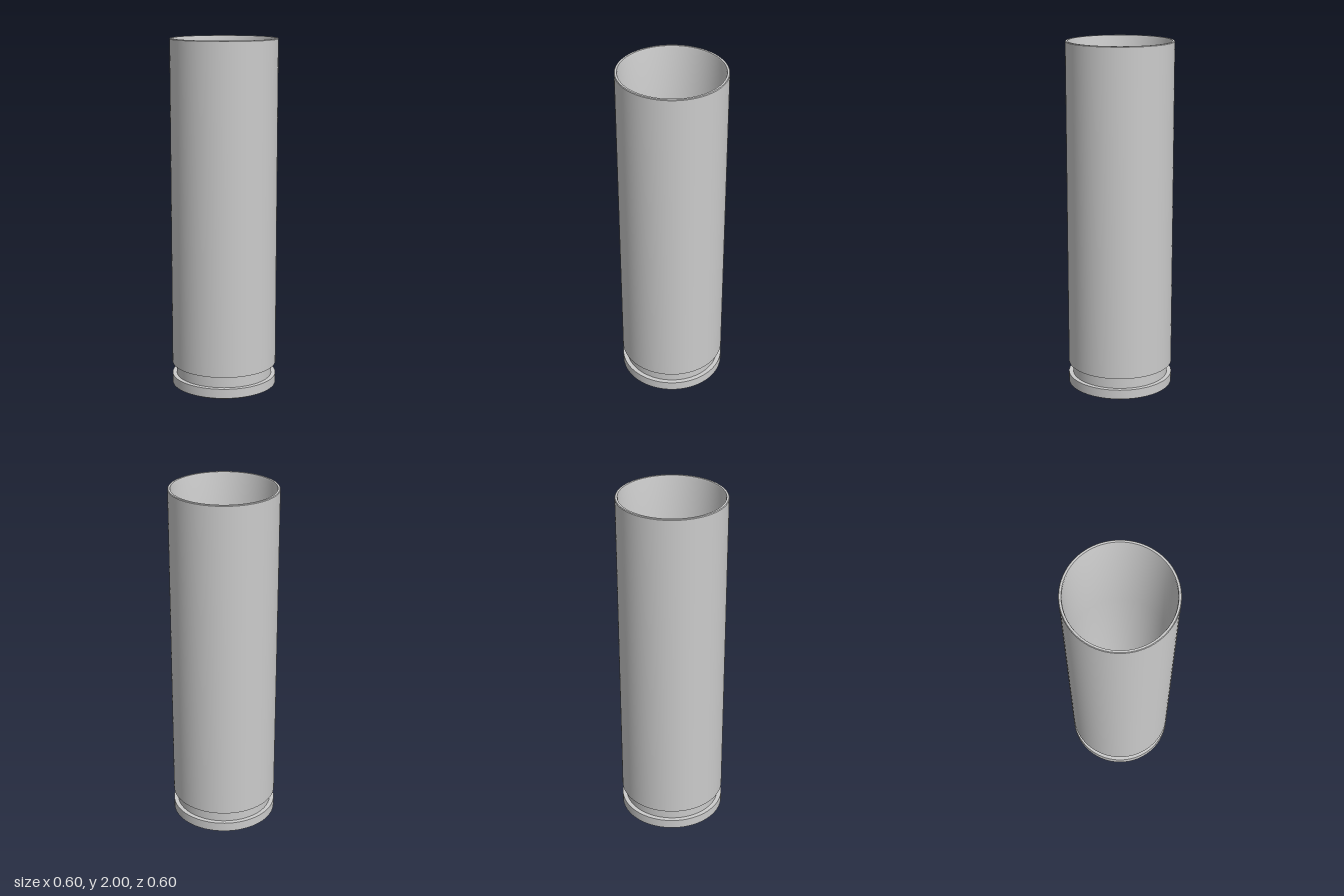
import * as THREE from 'three';
import { toCreasedNormals } from 'three/addons/utils/BufferGeometryUtils.js';

const SEGMENTS = 96;

// Revolve a [radius, height] profile, keeping hard edges crisp.
function turned(name, profile, material) {
  const points = profile.map(([r, y]) => new THREE.Vector2(r, y));
  const geometry = toCreasedNormals(new THREE.LatheGeometry(points, SEGMENTS), 0.5);
  const mesh = new THREE.Mesh(geometry, material);
  mesh.name = name;
  return mesh;
}

export function createModel() {
  const group = new THREE.Group();
  group.name = 'cartridgeCase';
  const metal = new THREE.MeshStandardMaterial({ color: 0xcccccc });

  // Base, rim, extraction groove and outer wall, from the pocket edge up to the mouth
  group.add(turned('outerShell', [
    [0.17, 0.03], [0.205, 0.03], [0.205, 0.008], [0.285, 0.008], [0.3, 0.016],
    [0.3, 0.07], [0.275, 0.07], [0.275, 0.138], [0.3, 0.138], [0.3, 1.996], [0.297, 2],
  ], metal));

  // Lip and tapering inside wall down to the rounded floor
  group.add(turned('innerWall', [
    [0.297, 2], [0.286, 2], [0.283, 1.99], [0.283, 1.3], [0.255, 0.45], [0.23, 0.24],
    [0.222, 0.215], [0.205, 0.198], [0.175, 0.19], [0, 0.19],
  ], metal));

  // Primer cap set in the base, with a shallow dimple
  group.add(turned('primer', [
    [0, 0.014], [0.05, 0.012], [0.085, 0.007], [0.1, 0.002], [0.105, 0],
    [0.16, 0], [0.167, 0.003], [0.17, 0.008], [0.17, 0.03],
  ], metal));

  return group;
}
